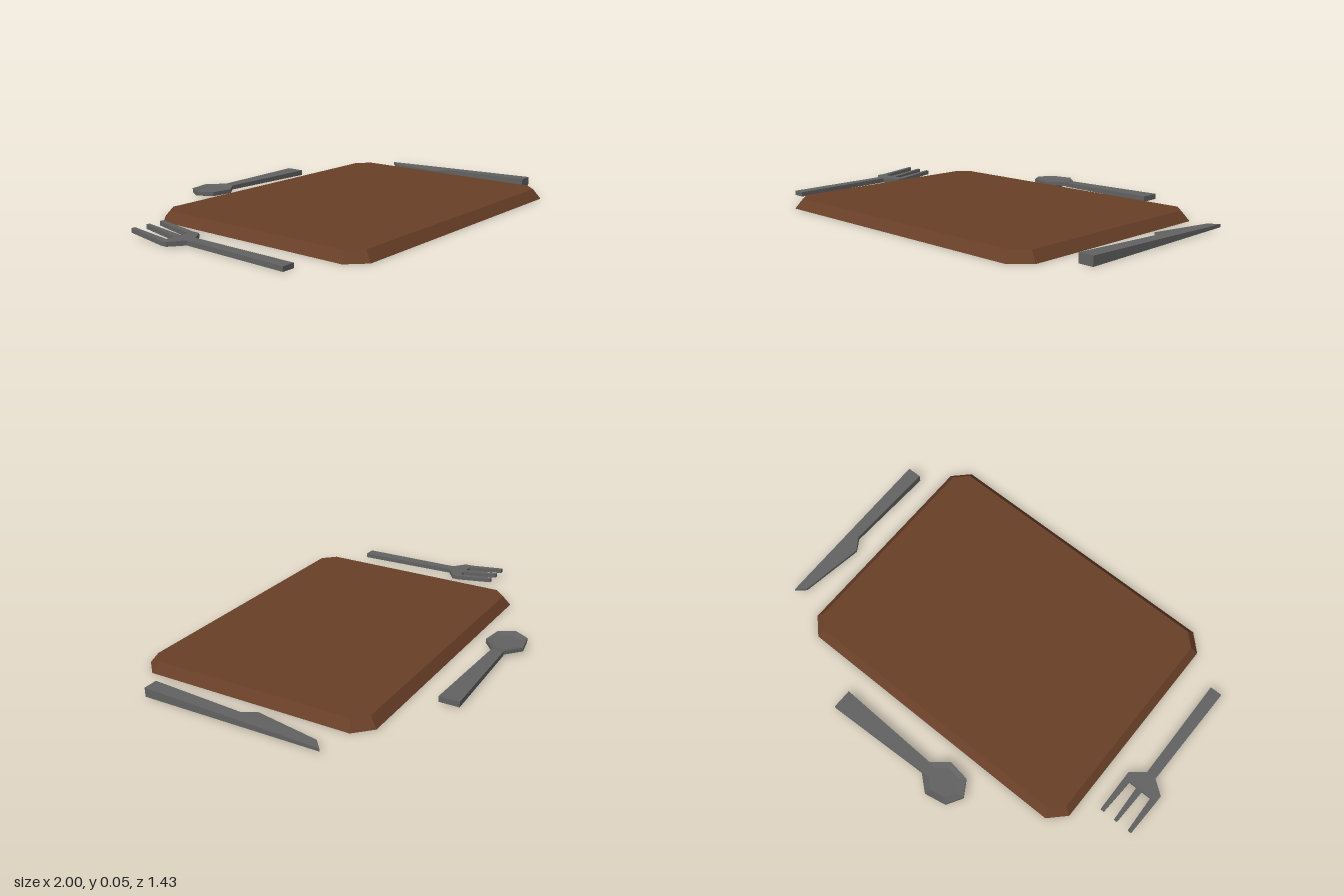
import * as THREE from 'three';

const wood = new THREE.MeshStandardMaterial({ color: 0x683f27, flatShading: true });
const metal = new THREE.MeshStandardMaterial({ color: 0x626262, flatShading: true });

// Solid through stacked outlines of [x, y, z] points, counter-clockwise seen from above, capped at both ends
function loft(name, material, rings) {
  const pos = [];
  const tri = (a, b, c) => pos.push(...a, ...b, ...c);
  const flat = (ring) => ring.map(([x, , z]) => new THREE.Vector2(x, -z));
  if (THREE.ShapeUtils.area(flat(rings[0])) < 0) rings = rings.map((r) => [...r].reverse());
  const n = rings[0].length;
  for (let k = 0; k < rings.length - 1; k++) {
    const lo = rings[k], hi = rings[k + 1];
    for (let i = 0; i < n; i++) {
      const j = (i + 1) % n;
      tri(lo[i], lo[j], hi[j]);
      tri(lo[i], hi[j], hi[i]);
    }
  }
  const first = rings[0], last = rings[rings.length - 1];
  for (const [a, b, c] of THREE.ShapeUtils.triangulateShape(flat(first), [])) tri(first[c], first[b], first[a]);
  for (const [a, b, c] of THREE.ShapeUtils.triangulateShape(flat(last), [])) tri(last[a], last[b], last[c]);
  const geo = new THREE.BufferGeometry();
  geo.setAttribute('position', new THREE.Float32BufferAttribute(pos, 3));
  geo.computeVertexNormals();
  const mesh = new THREE.Mesh(geo, material);
  mesh.name = name;
  return mesh;
}

// Slab from outline points [x, z, bottom, top]
const slab = (name, pts) => loft(name, metal, [
  pts.map(([x, z, lo]) => [x, lo, z]),
  pts.map(([x, z, , hi]) => [x, hi, z]),
]);

// Rectangle with cut corners at height y
function cutRect(x0, x1, z0, z1, c, y) {
  return [[x0 + c, z0], [x1 - c, z0], [x1, z0 + c], [x1, z1 - c],
    [x1 - c, z1], [x0 + c, z1], [x0, z1 - c], [x0, z0 + c]].map(([x, z]) => [x, y, z]);
}

function named(name, ...parts) {
  const g = new THREE.Group();
  g.name = name;
  g.add(...parts);
  return g;
}

function makeFork() {
  const handle = slab('forkHandle', [
    [-0.94, 0.525, 0, 0.022], [-0.88, 0.525, 0, 0.022],
    [-0.886, 0, 0.005, 0.027], [-0.934, 0, 0.005, 0.027],
  ]);
  const head = slab('forkHead', [
    [-0.934, 0, 0.005, 0.027], [-0.886, 0, 0.005, 0.027],
    [-0.82, -0.05, 0.005, 0.025], [-0.82, -0.085, 0.005, 0.025],
    [-1, -0.085, 0.005, 0.025], [-1, -0.05, 0.005, 0.025],
  ]);
  // Tines taper and rise towards the tip: root x range, tip x range
  const tines = [
    [-1, -0.968, -0.994, -0.975],
    [-0.922, -0.89, -0.915, -0.898],
    [-0.852, -0.82, -0.842, -0.823],
  ].map(([a, b, c, d]) => slab('forkTine', [
    [a, -0.085, 0.005, 0.025], [b, -0.085, 0.005, 0.025],
    [d, -0.27, 0.025, 0.045], [c, -0.27, 0.025, 0.045],
  ]));
  return named('fork', handle, head, ...tines);
}

function makeKnife() {
  const handle = slab('knifeHandle', [
    [0.93, 0.515, 0, 0.043], [1, 0.515, 0, 0.043],
    [1, 0.06, 0.003, 0.031], [0.945, 0.06, 0.003, 0.031],
  ]);
  const blade = slab('knifeBlade', [
    [0.945, 0.06, 0.003, 0.031], [1, 0.06, 0.003, 0.031],
    [1, -0.35, 0.006, 0.02], [0.955, -0.31, 0.006, 0.021],
    [0.905, 0, 0.01, 0.027],
  ]);
  return named('knife', handle, blade);
}

function makeSpoon() {
  const handle = slab('spoonHandle', [
    [-0.085, -0.65, 0.008, 0.029], [-0.085, -0.592, 0.008, 0.029],
    [0.435, -0.573, 0.004, 0.03], [0.435, -0.67, 0.004, 0.03],
  ]);
  // Bowl: narrow underside, wide rim and shallow hollow
  const rim = [[-0.31, -0.62], [-0.265, -0.695], [-0.16, -0.715], [-0.085, -0.65],
    [-0.085, -0.592], [-0.16, -0.53], [-0.265, -0.545]];
  const ring = (s, y) => rim.map(([x, z]) => [-0.19 + (x + 0.19) * s, y, -0.621 + (z + 0.621) * s]);
  const bowl = loft('spoonBowl', metal, [ring(0.6, 0.002), ring(1, 0.012), ring(1, 0.031), ring(0.7, 0.024)]);
  return named('spoon', handle, bowl);
}

export function createModel() {
  // Board with bevelled edges and cut corners
  const board = loft('board', wood, [
    cutRect(-0.73, 0.825, -0.455, 0.712, 0.077, 0),
    cutRect(-0.695, 0.79, -0.42, 0.678, 0.06, 0.046),
  ]);
  return named('placeSetting', board, makeFork(), makeKnife(), makeSpoon());
}
